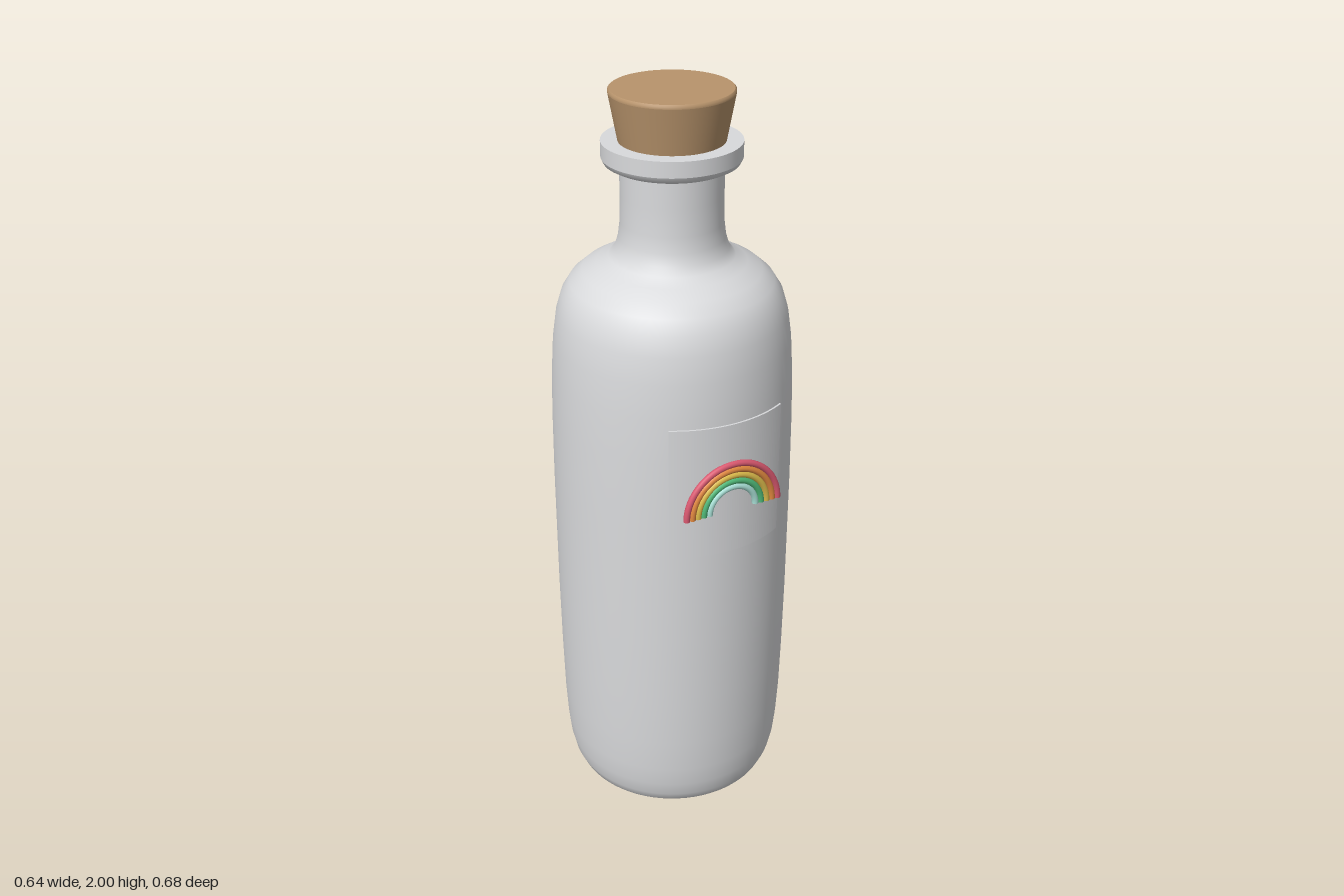
import * as THREE from 'three';

const material = (name, color, side = THREE.FrontSide) => {
  const m = new THREE.MeshStandardMaterial({ color, side });
  m.name = name;
  return m;
};

const AXIS_Z = -0.02; // the bottle sits slightly back to make room for the label

export function createModel() {
  const root = new THREE.Group();
  root.name = 'corkedBottle';

  const glass = material('paleGrey', 0xd9dadc, THREE.DoubleSide);
  const corkMat = material('cork', 0xb8946c);

  const add = (parent, name, geometry, mat) => {
    const mesh = new THREE.Mesh(geometry, mat);
    mesh.name = name;
    parent.add(mesh);
    return mesh;
  };
  const points = (list) => list.map(([r, y]) => new THREE.Vector2(r, y));
  // Each run of points is smooth; separate runs meet in a sharp edge
  const turned = (parent, name, runs, mat) => {
    const group = new THREE.Group();
    group.name = name;
    parent.add(group);
    runs.forEach((run, i) => add(group, name + 'Surface' + (i + 1), new THREE.LatheGeometry(points(run), 72), mat));
  };

  const bottle = new THREE.Group();
  bottle.name = 'bottle';
  bottle.position.z = AXIS_Z;
  root.add(bottle);

  // Body with rounded foot, shoulder and straight neck
  turned(bottle, 'body', [
    [[0, 0], [0.262, 0]],
    [[0.262, 0], [0.28, 0.016], [0.293, 0.045], [0.303, 0.09], [0.309, 0.15], [0.314, 0.25],
      [0.317, 0.4], [0.319, 0.6], [0.319, 0.95], [0.317, 1.15], [0.313, 1.27], [0.307, 1.36],
      [0.297, 1.43], [0.282, 1.48], [0.26, 1.515], [0.228, 1.543], [0.19, 1.563], [0.16, 1.58],
      [0.144, 1.6], [0.135, 1.63], [0.13, 1.67], [0.129, 1.74], [0.129, 1.82]],
  ], glass);

  // Lip ring around the mouth
  turned(bottle, 'lip', [
    [[0.129, 1.815], [0.155, 1.815]],
    [[0.155, 1.815], [0.168, 1.822], [0.174, 1.834]],
    [[0.174, 1.834], [0.174, 1.874]],
    [[0.174, 1.874], [0.12, 1.874]],
  ], glass);

  // Tapered cork with a softened top edge
  turned(bottle, 'stopper', [
    [[0, 1.84], [0.126, 1.84]],
    [[0.126, 1.84], [0.154, 1.99]],
    [[0.154, 1.99], [0.154, 1.996], [0.15, 2]],
    [[0.15, 2], [0, 2]],
  ], corkMat);

  // Thin curved label wrapped around the front left of the body
  const sweep = 1.005;
  const shape = new THREE.Shape();
  shape.absarc(0, 0, 0.33, Math.PI / 2 - sweep, Math.PI / 2, false);
  shape.absarc(0, 0, 0.325, Math.PI / 2, Math.PI / 2 - sweep, true);
  const labelGeo = new THREE.ExtrudeGeometry(shape, { depth: 0.37, bevelEnabled: false, curveSegments: 24 });
  labelGeo.rotateX(Math.PI / 2); // extrusion runs downward, arc lies in the xz plane
  add(bottle, 'label', labelGeo, glass).position.y = 1.25;

  // Rainbow of nested half rings
  const rainbow = new THREE.Group();
  rainbow.name = 'rainbow';
  rainbow.position.set(0.16, 1.007, 0.27);
  rainbow.rotation.y = 0.503;
  root.add(rainbow);
  const bands = [
    ['red', 0xd9586f], ['orange', 0xe0883f], ['yellow', 0xd9b94a],
    ['green', 0x4fb878], ['mint', 0xa9e0d6],
  ];
  const tube = 0.0085;
  bands.forEach(([name, color], i) => {
    const mat = material(name, color);
    const radius = 0.131 - i * 0.0162;
    add(rainbow, name + 'Band', new THREE.TorusGeometry(radius, tube, 12, 40, Math.PI), mat);
    for (const side of [-1, 1]) {
      const end = add(rainbow, name + 'BandEnd', new THREE.CircleGeometry(tube, 12), mat);
      end.rotation.x = Math.PI / 2;
      end.position.x = side * radius;
    }
  });

  return root;
}
